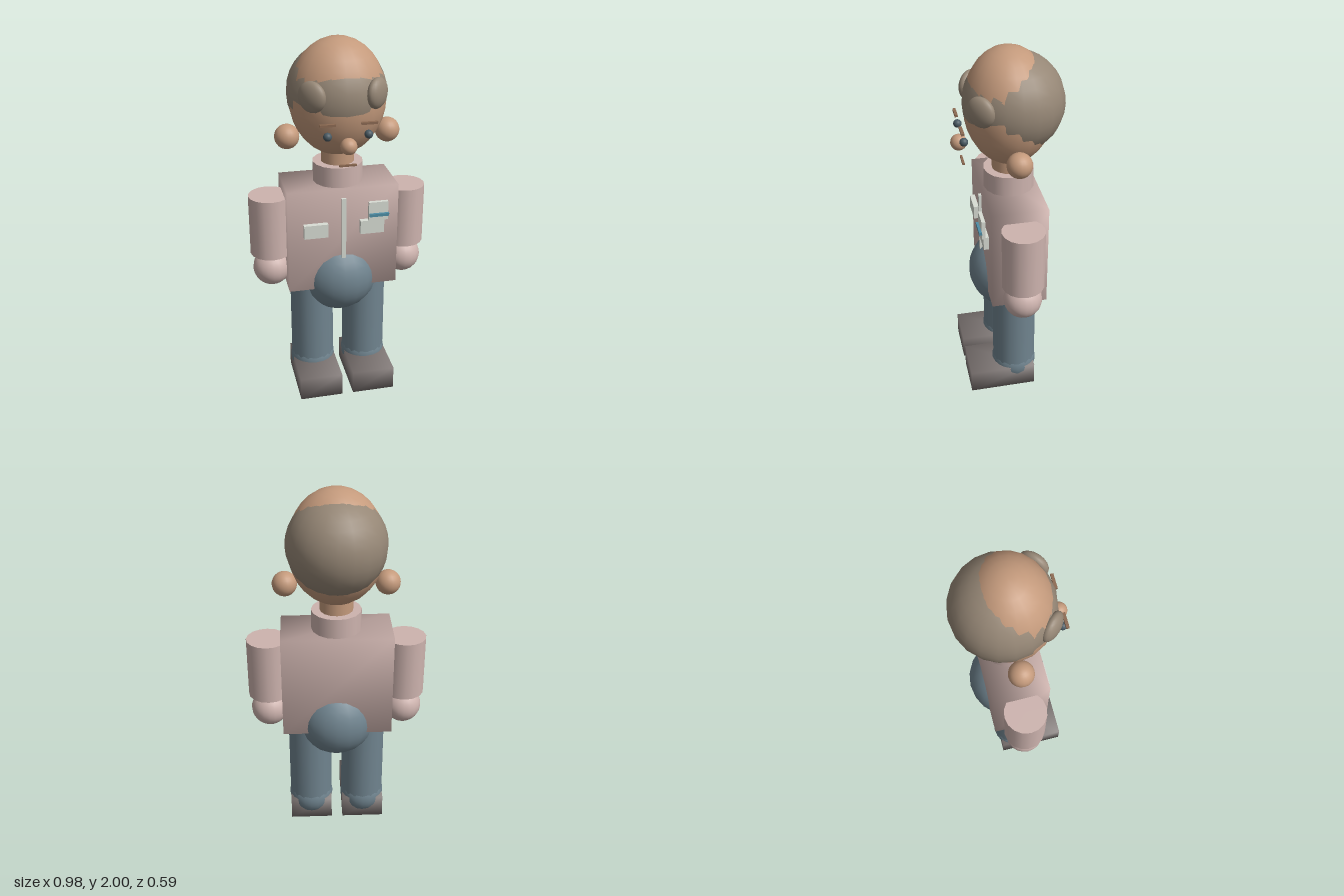
import * as THREE from 'three';
import { mergeVertices } from 'three/addons/utils/BufferGeometryUtils.js';

const mat = (color) => new THREE.MeshStandardMaterial({ color });
const SKIN = mat(0xc49a7c), HAIR = mat(0x968776), SHIRT = mat(0xcdb3ae), TROUSERS = mat(0x70848f);
const BOOT = mat(0x7a7270), TRIM = mat(0xd9ddd5), DARK = mat(0x4a5a63), BROW = mat(0x8c6a52), BLUE = mat(0x4f8ea6);
const Z = -0.01; // body axis

export function createModel() {
  const model = new THREE.Group();

  const add = (name, geometry, material, x, y, z) => {
    const mesh = new THREE.Mesh(geometry, material);
    mesh.name = name;
    mesh.position.set(x, y, z);
    model.add(mesh);
    return mesh;
  };
  const ball = (name, material, r, x, y, z, sx = 1, sy = 1, sz = 1) =>
    add(name, new THREE.SphereGeometry(r, 20, 16).scale(sx, sy, sz), material, x, y, z);
  const tube = (name, material, r, y0, y1, x) =>
    add(name, new THREE.CylinderGeometry(r, r, y1 - y0, 16), material, x, (y0 + y1) / 2, Z);
  const box = (name, material, w, h, d, x, y, z) =>
    add(name, new THREE.BoxGeometry(w, h, d), material, x, y, z);
  // box with shared corner normals, for a soft look
  const softBox = (name, material, w, h, d, x, y, z) => {
    let g = new THREE.BoxGeometry(w, h, d);
    g.deleteAttribute('uv');
    g.deleteAttribute('normal');
    g = mergeVertices(g);
    g.computeVertexNormals();
    return add(name, g, material, x, y, z);
  };

  // head: egg-shaped face with a hair ball set slightly back
  ball('head', SKIN, 1, 0, 1.69, Z, 0.255, 0.31, 0.233);
  ball('hair', HAIR, 0.263, 0, 1.71, -0.035);
  ball('nose', SKIN, 0.043, 0, 1.507, 0.251);
  box('mouth', BROW, 0.09, 0.01, 0.012, 0, 1.4, 0.235);
  tube('neck', SKIN, 0.09, 1.3, 1.44, 0);

  // torso
  tube('collar', SHIRT, 0.135, 1.22, 1.34, 0);
  softBox('torso', SHIRT, 0.6, 0.585, 0.3, 0, 0.9375, Z);
  ball('pelvis', TROUSERS, 0.226, 0, 0.676, Z);

  // jacket details
  box('zipper', TRIM, 0.024, 0.35, 0.024, 0, 1.004, 0.143);
  box('badge', TRIM, 0.105, 0.105, 0.02, 0.182, 1.103, 0.17);
  box('badgeStripe', BLUE, 0.105, 0.016, 0.016, 0.184, 1.085, 0.186);

  // mirrored parts
  for (const s of [1, -1]) {
    const side = s > 0 ? 'left' : 'right';
    const tuft = ball(side + 'HairTuft', HAIR, 0.08, s * 0.166, 1.744, 0.16, 1, 1, 0.5);
    tuft.rotation.y = s * Math.PI / 4;
    ball(side + 'Ear', SKIN, 0.066, s * 0.27, 1.49, Z);
    ball(side + 'Eye', DARK, 0.022, s * 0.105, 1.56, 0.239);
    box(side + 'Brow', BROW, 0.082, 0.012, 0.016, s * 0.106, 1.622, 0.249);
    box(side + 'Pocket', TRIM, 0.13, 0.076, 0.032, s * 0.153, 1.008, 0.152);

    tube(side + 'Arm', SHIRT, 0.113, 0.83, 1.17, s * 0.375);
    ball(side + 'Hand', SHIRT, 0.103, s * 0.374, 0.737, Z);

    tube(side + 'Leg', TROUSERS, 0.122, 0.127, 0.7, s * 0.151);
    ball(side + 'Ankle', TROUSERS, 0.127, s * 0.151, 0.127, Z);
    softBox(side + 'Boot', BOOT, 0.238, 0.134, 0.371, s * 0.151, 0.07, 0.0765);
  }
  return model;
}
